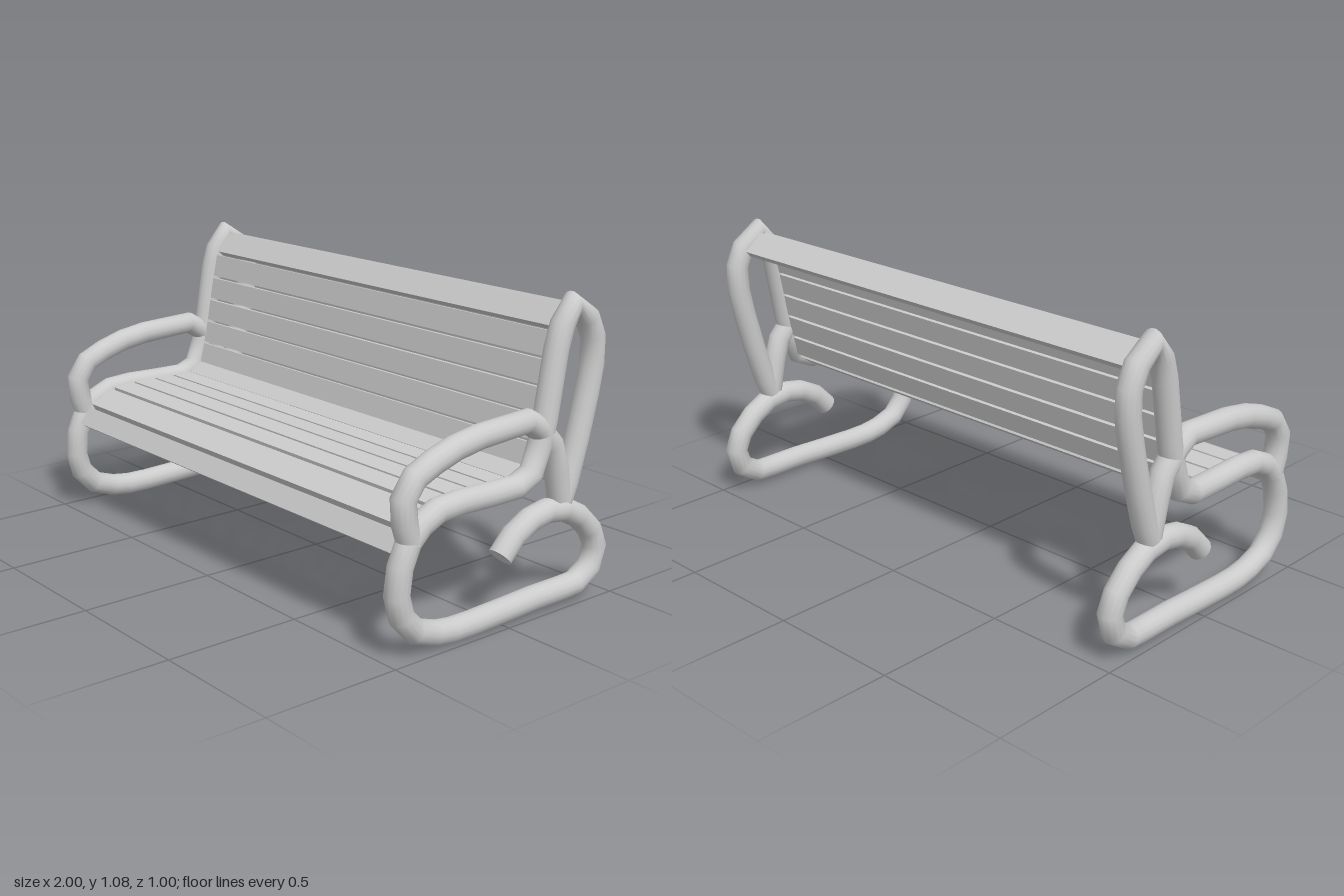
import * as THREE from 'three';

const TUBE_RADIUS = 0.0425;
const SIDE_X = 0.957;

// Centre lines in the side plane, as [z, y]
const framePath = [
  // curl under the seat
  [0.009, 0.241], [-0.05, 0.301], [-0.125, 0.339], [-0.203, 0.353], [-0.287, 0.341],
  [-0.362, 0.301], [-0.425, 0.241], [-0.454, 0.177], [-0.431, 0.102], [-0.359, 0.059],
  // ground runner and front bend
  [-0.284, 0.056], [-0.154, 0.056], [-0.01, 0.05], [0.14, 0.045], [0.226, 0.046],
  [0.298, 0.056], [0.382, 0.085], [0.439, 0.146], [0.46, 0.223], [0.448, 0.313],
  // seat rail
  [0.414, 0.388], [0.365, 0.434], [0.295, 0.465], [0.203, 0.471], [0.076, 0.468],
  [-0.05, 0.468], [-0.122, 0.5], [-0.16, 0.595],
  // backrest loop
  [-0.18, 0.673], [-0.22, 0.903], [-0.244, 0.978], [-0.29, 1.042], [-0.362, 0.987],
  [-0.396, 0.918], [-0.396, 0.826], [-0.376, 0.725], [-0.339, 0.581], [-0.295, 0.437],
  [-0.269, 0.376],
];
const armPath = [
  [0.408, 0.382], [0.431, 0.448], [0.439, 0.529], [0.393, 0.592], [0.321, 0.624],
  [0.229, 0.653], [0.125, 0.67], [-0.094, 0.682], [-0.148, 0.65], [-0.212, 0.584],
  [-0.241, 0.5], [-0.267, 0.385],
];
// Joints between neighbouring slats, front edge of the seat to top of the back
const slatJoints = [
  [0.447, 0.34], [0.4, 0.41], [0.3, 0.462], [0.205, 0.47], [0.105, 0.47],
  [0.015, 0.468], [-0.075, 0.468], [-0.137, 0.51], [-0.16, 0.595], [-0.18, 0.685],
  [-0.196, 0.775], [-0.213, 0.865], [-0.234, 0.958], [-0.297, 1.033], [-0.375, 0.965],
];

// Curve that puts one tube ring on every given point
class RingCurve extends THREE.Curve {
  constructor(points) {
    super();
    this.points = points;
  }
  getPointAt(u, target = new THREE.Vector3()) {
    return target.copy(this.points[Math.round(u * (this.points.length - 1))]);
  }
  getTangentAt(u, target = new THREE.Vector3()) {
    const p = this.points, i = Math.round(u * (p.length - 1));
    const here = p[i], before = p[i - 1], after = p[i + 1];
    target.set(0, 0, 0);
    if (before) target.add(here.clone().sub(before).normalize());
    if (after) target.add(after.clone().sub(here).normalize());
    return target.normalize();
  }
}

// Bent pipe with flat end caps
function pipe(path, x, name, material) {
  const group = new THREE.Group();
  group.name = name;
  const curve = new RingCurve(path.map(([z, y]) => new THREE.Vector3(x, y, z)));
  const tube = new THREE.Mesh(
    new THREE.TubeGeometry(curve, path.length - 1, TUBE_RADIUS, 14), material);
  tube.name = name + 'Tube';
  group.add(tube);
  for (const u of [0, 1]) {
    const cap = new THREE.Mesh(new THREE.CircleGeometry(TUBE_RADIUS, 14), material);
    cap.name = name + 'Cap';
    cap.position.copy(curve.getPointAt(u));
    const outward = curve.getTangentAt(u).multiplyScalar(u ? 1 : -1);
    cap.quaternion.setFromUnitVectors(new THREE.Vector3(0, 0, 1), outward);
    group.add(cap);
  }
  return group;
}

export function createModel() {
  const model = new THREE.Group();
  model.name = 'bench';
  const material = new THREE.MeshStandardMaterial({ color: 0xcccccc });

  // Tubular end frames and armrests
  for (const [side, sign] of [['left', 1], ['right', -1]]) {
    model.add(pipe(framePath, sign * SIDE_X, side + 'Frame', material));
    model.add(pipe(armPath, sign * SIDE_X, side + 'Armrest', material));
  }

  // Seat and back slats, following the frame
  const slats = new THREE.Group();
  slats.name = 'slats';
  for (let i = 0; i < slatJoints.length - 1; i++) {
    const [z0, y0] = slatJoints[i], [z1, y1] = slatJoints[i + 1];
    const width = Math.hypot(z1 - z0, y1 - y0) - 0.01;
    const slat = new THREE.Mesh(new THREE.BoxGeometry(1.87, 0.028, width), material);
    slat.name = i < 7 ? 'seatSlat' : 'backSlat';
    slat.position.set(0, (y0 + y1) / 2, (z0 + z1) / 2);
    slat.rotation.x = Math.atan2(y1 - y0, z0 - z1);
    slats.add(slat);
  }
  model.add(slats);
  return model;
}
